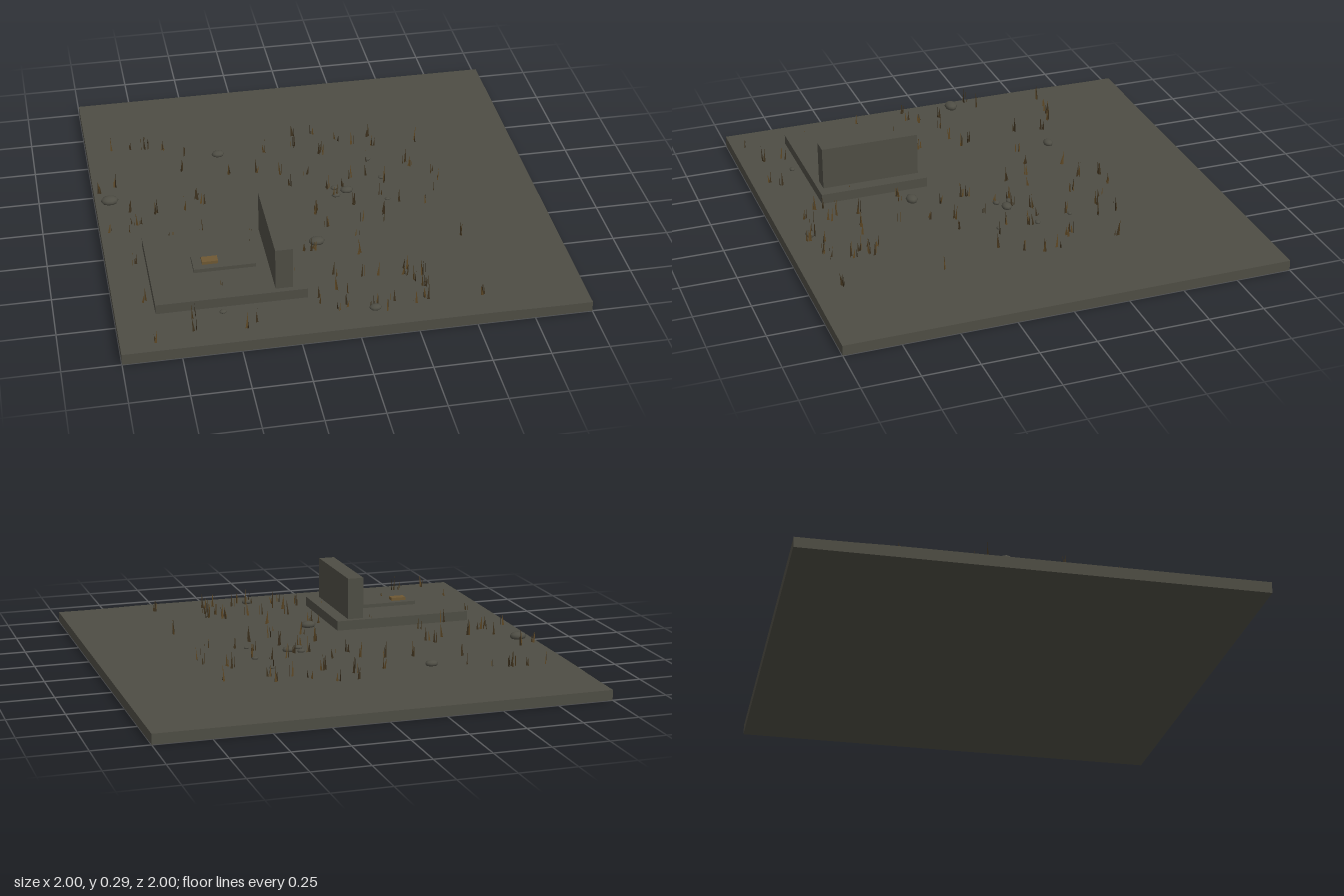
import * as THREE from 'three';

const paint = (name, color, side = THREE.FrontSide) => {
  const m = new THREE.MeshStandardMaterial({ color, side });
  m.name = name;
  return m;
};

export function createModel() {
  const model = new THREE.Group();
  model.name = 'graveyardPlot';
  const stone = paint('mossyStone', 0x4e4d44);
  const brass = paint('agedBrass', 0x6e5833);
  const dryGrass = paint('dryGrass', 0x5e4825, THREE.DoubleSide);
  const darkGrass = paint('darkGrass', 0x3e321f, THREE.DoubleSide);

  let seed = 17;
  const rand = () => {
    seed = (seed * 16807) % 2147483647;
    return seed / 2147483647;
  };
  const add = (name, geometry, material) => {
    const mesh = new THREE.Mesh(geometry, material);
    mesh.name = name;
    model.add(mesh);
    return mesh;
  };
  const block = (name, material, x0, x1, y0, y1, z0, z1) =>
    add(name, new THREE.BoxGeometry(x1 - x0, y1 - y0, z1 - z0), material)
      .position.set((x0 + x1) / 2, (y0 + y1) / 2, (z0 + z1) / 2);

  // Ground slab, with its top sinking a touch towards the right and back edges
  const ground = new THREE.BoxGeometry(2, 0.05, 2, 16, 1, 16);
  ground.translate(0, 0.025, 0);
  const p = ground.attributes.position;
  for (let i = 0; i < p.count; i++) {
    if (p.getY(i) < 0.01) continue;
    const edge = Math.max(p.getX(i), -p.getZ(i));
    p.setY(i, 0.05 - 0.004 * THREE.MathUtils.smoothstep(edge, 0.55, 0.85));
  }
  ground.computeVertexNormals();
  add('ground', ground, stone);

  // Stepped monument
  block('plinth', stone, -0.83, -0.18, 0.045, 0.095, 0.25, 0.75);
  block('uprightSlab', stone, -0.315, -0.24, 0.095, 0.29, 0.275, 0.725);
  block('lowSlab', stone, -0.64, -0.37, 0.095, 0.112, 0.45, 0.55);
  block('brassBlock', brass, -0.6, -0.53, 0.112, 0.126, 0.48, 0.52);

  // Flattened stones: x, z, radius
  const stones = [
    [-0.395, -0.43, 0.03], [-0.935, -0.125, 0.04], [0.14, -0.02, 0.03],
    [0.09, -0.05, 0.019], [0.085, 0.01, 0.02], [0.29, -0.265, 0.013],
    [0.32, -0.1, 0.016], [0.31, 0.08, 0.013], [-0.07, 0.36, 0.036],
    [-0.55, 0.79, 0.016], [0.085, 0.88, 0.027],
  ];
  const pebble = new THREE.SphereGeometry(1, 10, 6);
  for (const [x, z, r] of stones) {
    const mesh = add('stone', pebble, stone);
    mesh.scale.set(r, r * 0.5, r * 0.75);
    mesh.position.set(x, 0.05 + r * 0.3, z);
  }

  // Grass tufts: upright tapering blades gathered in small clumps
  const blades = [[], []];
  const bands = [[-0.97, -0.6], [-0.6, -0.17], [-0.14, 0], [0.05, 0.18], [0.22, 0.36], [0.45, 0.6]];
  const tufts = [20, 15, 17, 18, 20, 10];
  bands.forEach(([x0, x1], b) => {
    for (let n = 0; n < tufts[b];) {
      const cx = x0 + rand() * (x1 - x0);
      const cz = -0.57 + rand() * 1.52;
      if (cx > -0.83 && cx < -0.18 && cz > 0.25 && cz < 0.75 && rand() < 0.8) continue;
      n++;
      const count = 2 + Math.floor(rand() * 2);
      for (let k = 0; k < count; k++) {
        const yaw = rand() * Math.PI, c = Math.cos(yaw), s = Math.sin(yaw);
        const x = cx + (rand() - 0.5) * 0.02, z = cz + (rand() - 0.5) * 0.02;
        const h = 0.035 + rand() * 0.045, w = 0.006, lean = (rand() - 0.5) * 0.02;
        blades[rand() < 0.5 ? 0 : 1].push(
          x - c * w, 0.045, z - s * w,
          x + c * w, 0.045, z + s * w,
          x + c * lean, 0.05 + h, z + s * lean,
        );
      }
    }
  });
  blades.forEach((points, i) => {
    const g = new THREE.BufferGeometry();
    g.setAttribute('position', new THREE.Float32BufferAttribute(points, 3));
    g.computeVertexNormals();
    add(i ? 'darkGrassBlades' : 'dryGrassBlades', g, i ? darkGrass : dryGrass);
  });

  return model;
}
